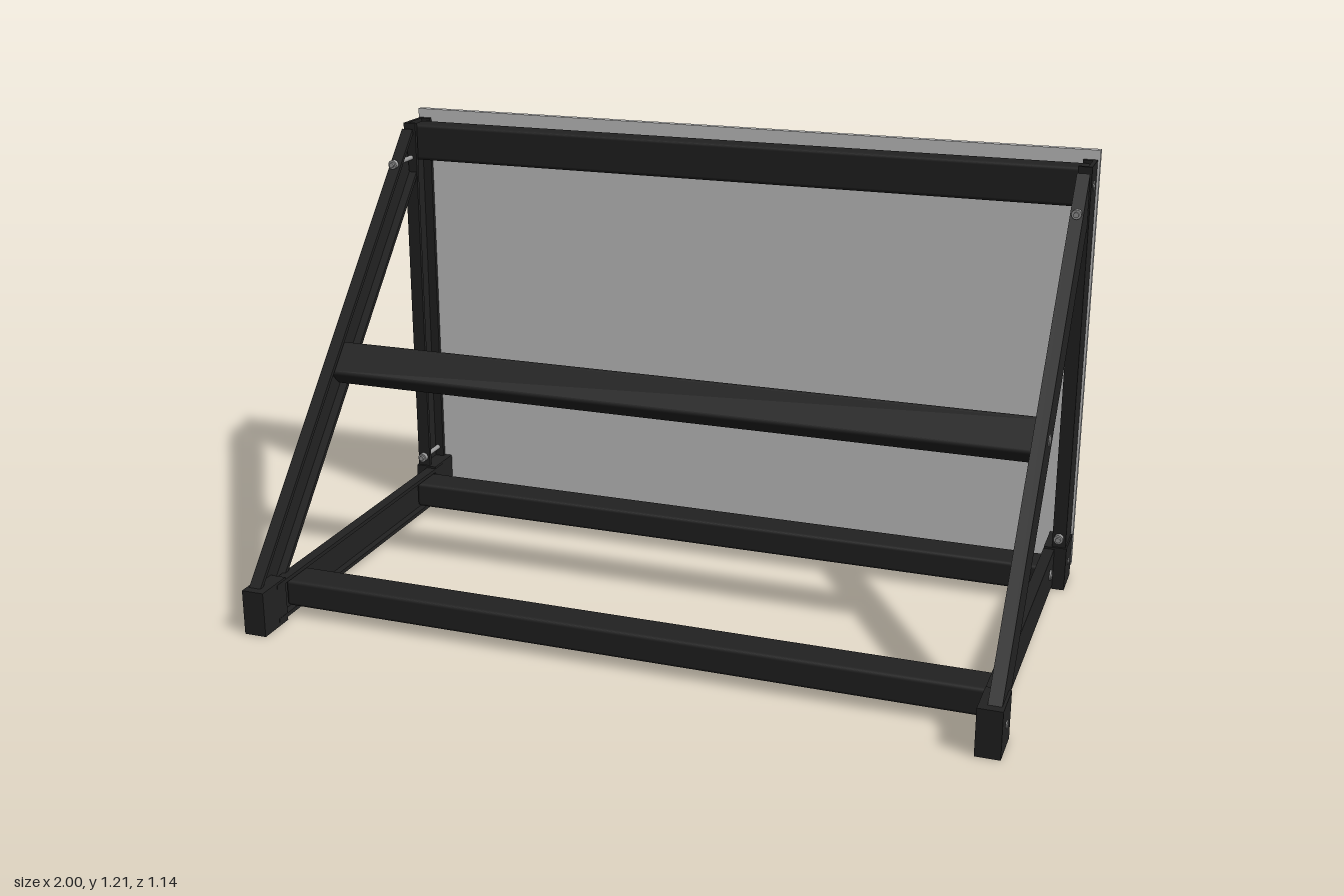
import * as THREE from 'three';
import { RoundedBoxGeometry } from 'three/addons/geometries/RoundedBoxGeometry.js';

const dark = new THREE.MeshStandardMaterial({ color: 0x222222 });
const steel = new THREE.MeshStandardMaterial({ color: 0x999999 });
const grey = new THREE.MeshStandardMaterial({ color: 0xcccccc });

export function createModel() {
  const model = new THREE.Group();

  const add = (name, geometry, material, x, y, z) => {
    const mesh = new THREE.Mesh(geometry, material);
    mesh.name = name;
    mesh.position.set(x, y, z);
    model.add(mesh);
    return mesh;
  };

  // U-channel running along local y from y0 to y1, web on the outer side (s = +1 or -1)
  const channel = (s, width, depth, y0, y1, topSlope = 0) => {
    const w = width / 2, d = depth / 2, t = 0.011;
    const shape = new THREE.Shape([
      [-d, -w], [d, -w], [d, w], [-d, w], [-d, w - t], [d - t, w - t], [d - t, t - w], [-d, t - w],
    ].map(([x, z]) => new THREE.Vector2(x * s, -z)));
    const geo = new THREE.ExtrudeGeometry(shape, { depth: y1 - y0, bevelEnabled: false });
    geo.rotateX(-Math.PI / 2);
    geo.translate(0, y0, 0);
    // Slanted cut at the upper end
    const p = geo.attributes.position;
    for (let i = 0; i < p.count; i++) {
      if (p.getY(i) > y1 - 1e-4) p.setY(i, y1 + topSlope * p.getZ(i));
    }
    geo.computeVertexNormals();
    return geo;
  };

  // Bolt along x (side) or z (through the panel)
  const bolt = (name, axis, radius, length, x, y, z) => {
    const mesh = add(name, new THREE.CylinderGeometry(radius, radius, length, 20), steel, x, y, z);
    if (axis === 'x') mesh.rotation.z = Math.PI / 2;
    else mesh.rotation.x = Math.PI / 2;
  };

  const tilt = -0.743; // lean of the braces

  // Back panel
  add('panel', new THREE.BoxGeometry(2, 1.185, 0.02), grey, 0, 0.6225, -0.555);

  // Cross members
  const beam = (name, length, h, d, y, z) =>
    add(name, new RoundedBoxGeometry(length, h, d, 3, 0.01), dark, 0, y, z);
  beam('topBeam', 1.96, 0.106, 0.07, 1.131, -0.49);
  beam('middleBeam', 1.96, 0.104, 0.064, 0.597, 0.037).rotation.x = tilt;
  beam('frontBottomBeam', 1.9, 0.074, 0.1, 0.067, 0.385);
  beam('rearBottomBeam', 1.9, 0.074, 0.1, 0.067, -0.38);

  for (const s of [1, -1]) {
    const side = s > 0 ? 'left' : 'right';

    // Side frame: post, slanted brace and base rail
    add(side + 'Post', channel(s, 0.105, 0.037, 0.02, 1.19), dark, s * 0.9755, 0, -0.488);
    add(side + 'Brace', channel(s, 0.107, 0.034, -0.71, 0.684, 0.9), dark, s * 0.974, 0.6, 0.037)
      .rotation.x = tilt;
    add(side + 'Rail', channel(s, 0.108, 0.03, -0.48, 0.5), dark, s * 0.95, 0.064, 0)
      .rotation.x = Math.PI / 2;

    // Feet
    add(side + 'FrontFoot', new THREE.BoxGeometry(0.062, 0.124, 0.113), dark, s * 0.967, 0.062, 0.514);
    add(side + 'RearFoot', new THREE.BoxGeometry(0.062, 0.124, 0.115), dark, s * 0.967, 0.062, -0.487);

    // Side bolts: [x, y, z, radius]
    for (const [x, y, z, r] of [
      [0.99, 1.131, -0.485, 0.014], [0.987, 0.6, 0.04, 0.015], [0.963, 0.065, 0.39, 0.015],
      [0.963, 0.065, -0.372, 0.015], [0.994, 0.065, 0.515, 0.01], [0.994, 0.065, -0.486, 0.01],
    ]) bolt(side + 'SideBolt', 'x', r, 0.014, s * x, y, z);

    // Bolts holding the panel to the posts, with head and nut
    for (const [y, end] of [[1.088, -0.312], [0.152, -0.413]]) {
      bolt(side + 'PanelBolt', 'z', 0.007, end + 0.565, s * 0.975, y, (end - 0.565) / 2);
      bolt(side + 'PanelBoltHead', 'z', 0.013, 0.007, s * 0.975, y, -0.567);
      bolt(side + 'PanelBoltNut', 'z', 0.013, 0.014, s * 0.975, y, end - 0.014);
    }
  }
  return model;
}
